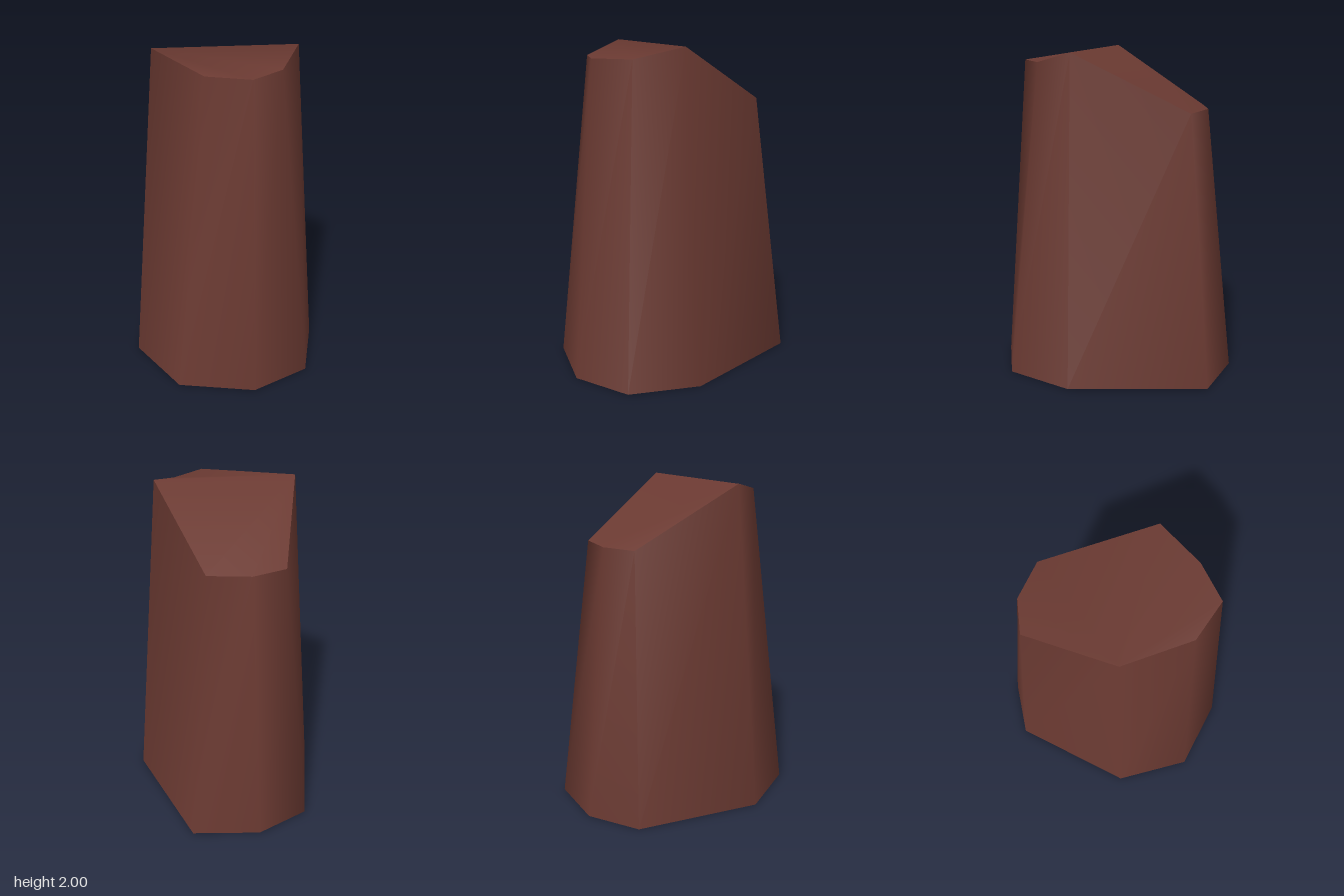
import * as THREE from 'three';

// Outlines run back, left, front, right; each point is [x, y, z]
const base = [
  [0.01, 0, -0.74], [0.41, 0, -0.64], [0.58, 0, 0.19], [0.41, 0, 0.6],
  [0.04, 0, 0.73], [-0.4, 0, 0.57], [-0.585, 0, 0.125], [-0.325, 0, -0.62],
];
const rim = [
  [0.025, 1.65, -0.565], [0.27, 1.65, -0.49], [0.42, 2, 0.19], [0.25, 1.93, 0.435],
  [0.04, 1.93, 0.575], [-0.2, 1.93, 0.455], [-0.425, 2, 0.08], [-0.19, 1.65, -0.51],
];

function indexedGeometry(points, index) {
  const geometry = new THREE.BufferGeometry();
  geometry.setAttribute('position', new THREE.Float32BufferAttribute(points.flat(), 3));
  geometry.setIndex(index);
  geometry.computeVertexNormals();
  return geometry;
}

export function createModel() {
  const brown = new THREE.MeshStandardMaterial({ color: 0x6b3a32, side: THREE.DoubleSide });
  brown.name = 'reddish brown';
  const group = new THREE.Group();
  group.name = 'taperedStump';
  const n = base.length;

  // Tapered wall, open underneath
  const wallIndex = [];
  for (let i = 0; i < n; i++) {
    const j = (i + 1) % n;
    wallIndex.push(j, i, n + i, j, n + i, n + j);
  }
  const wall = new THREE.Mesh(indexedGeometry([...base, ...rim], wallIndex), brown);
  wall.name = 'wall';

  // Slanted top, fanned from the right end of its ridge
  const peak = 6;
  const topIndex = [];
  for (let k = 1; k < n - 1; k++) {
    topIndex.push(peak, (peak + k + 1) % n, (peak + k) % n);
  }
  const top = new THREE.Mesh(indexedGeometry(rim, topIndex), brown);
  top.name = 'slantedTop';

  group.add(wall, top);
  return group;
}
